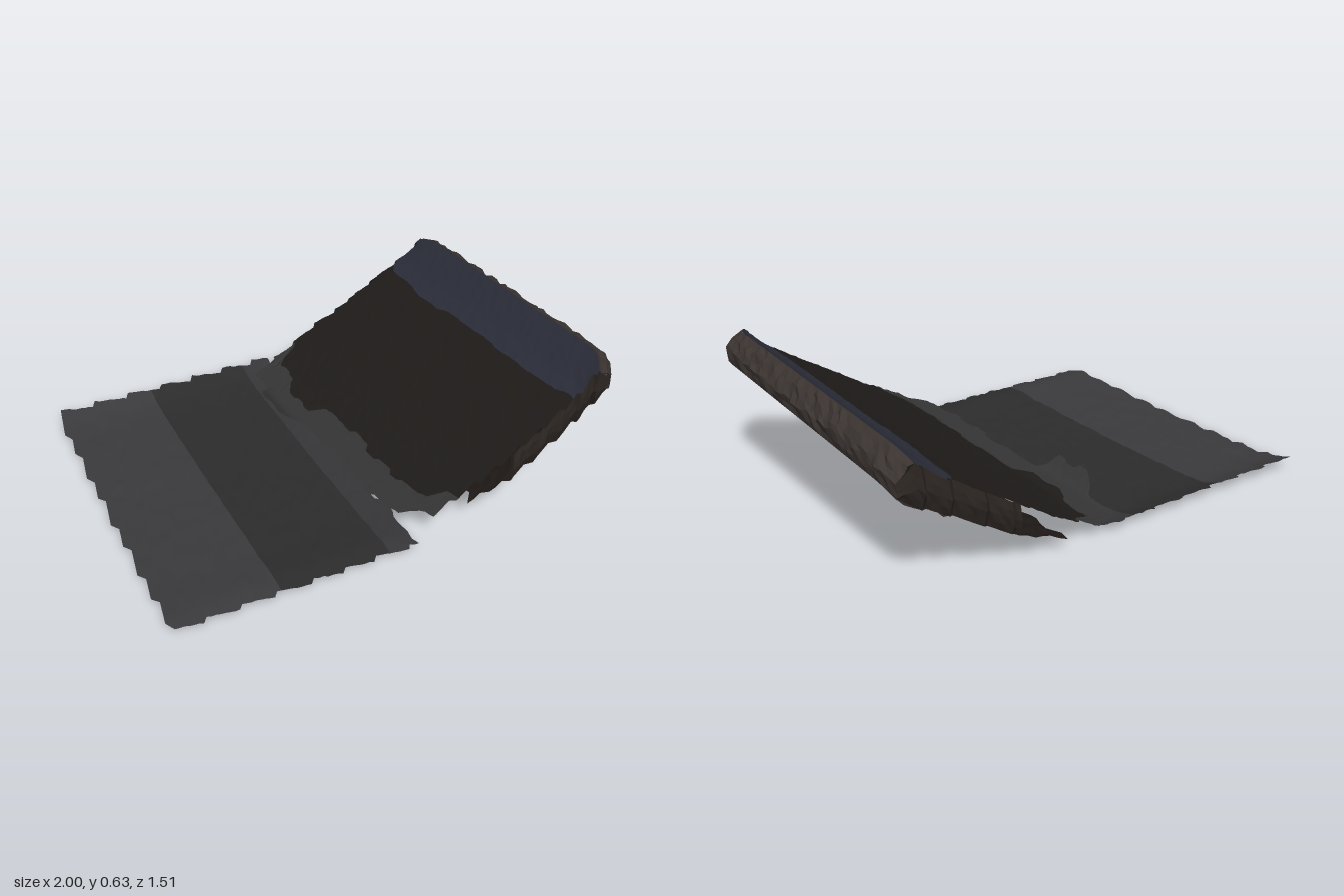
import * as THREE from 'three';

// repeatable noise in -1..1 and a sawtooth for torn edges
const noise = (a, b = 0) => {
  const s = Math.sin(a * 127.1 + b * 311.7) * 43758.5453;
  return 2 * (s - Math.floor(s)) - 1;
};
const saw = (t) => t - Math.floor(t);
const lerp = THREE.MathUtils.lerp;

// thin surface from a rule fn(u, v) -> [x, y, z], u from u0 to u1
function sheet(name, color, nu, nv, u0, u1, fn, flatShading = false) {
  const pos = [], idx = [];
  for (let i = 0; i <= nu; i++)
    for (let j = 0; j <= nv; j++) pos.push(...fn(lerp(u0, u1, i / nu), j / nv));
  for (let i = 0; i < nu; i++)
    for (let j = 0; j < nv; j++) {
      const a = i * (nv + 1) + j, b = a + nv + 1;
      idx.push(a, a + 1, b, b, a + 1, b + 1);
    }
  const g = new THREE.BufferGeometry();
  g.setAttribute('position', new THREE.Float32BufferAttribute(pos, 3));
  g.setIndex(idx);
  g.computeVertexNormals();
  const m = new THREE.Mesh(g, new THREE.MeshStandardMaterial({ color, flatShading, side: THREE.DoubleSide }));
  m.name = name;
  return m;
}

// piecewise linear lookup in [x, y] pairs
function along(points, x) {
  let k = 0;
  while (k < points.length - 2 && x > points[k + 1][0]) k++;
  const [a, b] = [points[k], points[k + 1]];
  return lerp(a[1], b[1], (x - a[0]) / (b[0] - a[0]));
}

const SCREEN = [[-0.13, 0.1], [-0.03, 0.085], [0.1, 0.11], [0.3, 0.21], [0.6, 0.385], [0.8, 0.51], [0.91, 0.605]];
const BACK = [[0.27, 0.125], [0.45, 0.17], [0.7, 0.31], [0.9, 0.435], [0.98, 0.49]];
const RIM = [[0.91, 0.605], [0.95, 0.585], [0.985, 0.545], [0.98, 0.49]];
const BASE_ENDS = [[-0.75, 0.06], [-0.66, 0.03], [-0.55, 0.022], [0, 0.025], [0.5, 0.042], [0.66, 0.056], [0.74, 0.045]];
const HINGE_EDGE = [[-0.76, 0.09], [-0.7, 0.08], [-0.66, -0.04], [-0.5, -0.05], [-0.4, -0.11], [-0.22, -0.11],
  [-0.18, -0.03], [0.1, -0.02], [0.38, -0.02], [0.62, 0], [0.67, 0.09], [0.76, 0.1]];

// lean of the lid along z and rounding of its upper corners
function lid(x, y, z) {
  const k = Math.max(0, (Math.abs(z) - 0.58) / 0.17) ** 2 * THREE.MathUtils.smoothstep(x, 0.7, 0.95);
  return [x - k * (z > 0 ? 0.09 : 0.025), y + 0.07 * z - k * 0.05, z];
}

// torn front and back limits of the lid at x
const lidZ = (x, v) => lerp(
  -0.73 - 0.025 * Math.exp(-(((x - 0.25) / 0.12) ** 2)) + 0.025 * saw(x * 8) + 0.03 * Math.max(0, x - 0.5),
  0.73 + 0.015 * Math.sin(x * 4) - 0.025 * saw(x * 9), v);

function base(x, v) {
  const z = lerp(-0.755 + 0.03 * saw(x * 6.3 + 0.2), 0.74 - 0.025 * saw(-x * 7), v);
  const edge = x < -0.93 ? 0.03 * saw(v * 9) * ((-0.93 - x) / 0.05) : 0;
  const end = x > 0 ? (x / 0.08) * (0.02 * noise(Math.floor(v * 14)) - 0.04 * v) : 0;
  return [x - edge + end, along(BASE_ENDS, z) - 0.01 * x + 0.004 * noise(x * 9, v), z];
}

function screen(u, v) {
  const z = lidZ(lerp(0, 0.91, u), v);
  const x0 = along(HINGE_EDGE, z) + 0.015 * noise(Math.floor(v * 22), 3);
  const x = lerp(x0, 0.91, u);
  const curl = x < -0.06 ? (-0.06 - x) * 0.7 : 0;
  return lid(x, along(SCREEN, x) + curl + 0.002 * noise(x, v), z);
}

function rim(u, v) {
  const k = Math.min(2, Math.floor(u * 3)), t = u * 3 - k;
  const x = lerp(RIM[k][0], RIM[k + 1][0], t), y = lerp(RIM[k][1], RIM[k + 1][1], t);
  const r = u > 0 && u < 1 ? 0.009 : 0;
  return lid(x + r * noise(u, v), y + r * noise(v, u), lidZ(0.91, v));
}

function back(u, v) {
  const start = 0.29 + 0.03 * noise(Math.floor(v * 20), 8);
  const x = lerp(start, 0.98, u);
  const r = u < 1 ? 0.006 + 0.007 * u : 0;
  return lid(x, along(BACK, x) + r * noise(u * 5, v * 3), lidZ(x, v));
}

// wall closing the gap between screen and back at either end
const wall = (end) => (u, t) => {
  const x = lerp(0.46, 0.98, u);
  const top = x < 0.91 ? along(SCREEN, x) : lerp(0.605, 0.52, (x - 0.91) / 0.07);
  const z = lidZ(x, end) + Math.sign(end - 0.5) * 0.015 * Math.sin(Math.PI * t) * (1 + 0.5 * noise(u, t));
  return lid(x, lerp(top, along(BACK, x), t), z);
};

export function createModel() {
  const model = new THREE.Group();

  // flat half: pale palm area, darker key area, pale hinge strip
  const deck = new THREE.Group();
  deck.name = 'base';
  deck.add(
    sheet('palmRest', 0x3a3a3c, 24, 40, -0.98, -0.55, base),
    sheet('keyArea', 0x2c2c2d, 24, 40, -0.55, -0.08, base),
    sheet('baseHingeStrip', 0x363638, 8, 40, -0.08, 0.08, base),
  );

  // raised half: hinge flap, dark screen with a bluish band, rounded rim
  const cover = new THREE.Group();
  cover.name = 'lid';
  cover.add(
    sheet('hingeFlap', 0x353536, 8, 66, 0, 0.14, screen),
    sheet('screen', 0x1f1c1a, 40, 66, 0.14, 0.8, screen),
    sheet('screenUpperBand', 0x2b2d39, 10, 66, 0.8, 1, screen),
    sheet('lidRim', 0x3a3330, 6, 40, 0, 1, rim, true),
    sheet('lidBackLower', 0x1d1815, 14, 40, 0, 0.65, back, true),
    sheet('lidBackUpper', 0x2f2926, 8, 40, 0.65, 1, back, true),
    sheet('lidFrontWall', 0x2a2420, 22, 4, 0, 1, wall(1), true),
    sheet('lidRearWall', 0x2a2420, 22, 4, 0, 1, wall(0), true),
  );

  model.add(deck, cover);
  return model;
}
